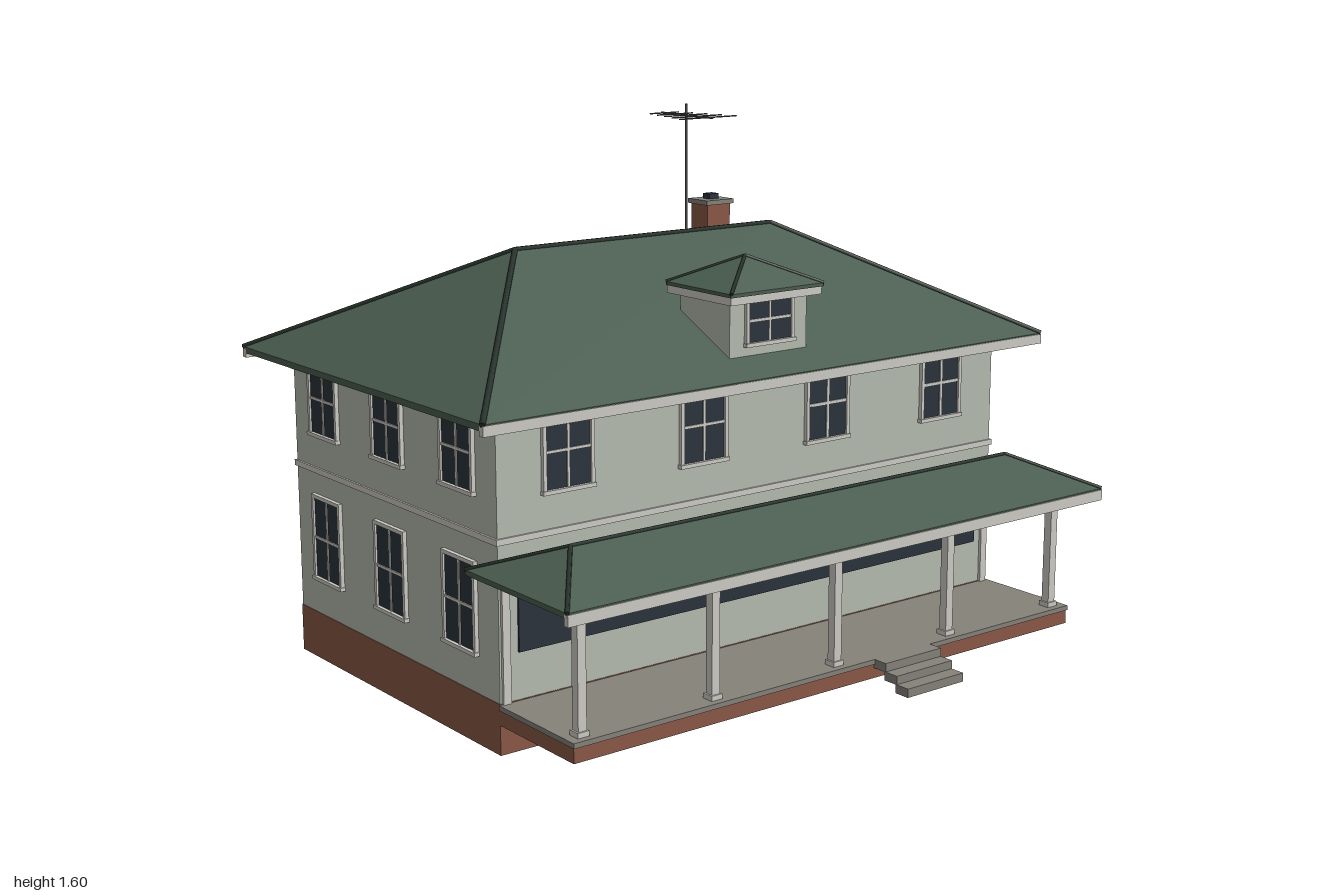
import * as THREE from 'three';

const mat = (name, color, extra = {}) => {
  const m = new THREE.MeshStandardMaterial({ color, ...extra });
  m.name = name;
  return m;
};

export function createModel() {
  const wall = mat('sage wall', 0xb5bdb0);
  const trim = mat('pale trim', 0xcfccc5);
  const brick = mat('brick', 0x8a5846);
  const roofing = mat('green roofing', 0x4b5e51);
  const capping = mat('dark ridge cap', 0x27322b);
  const glass = mat('dark glass', 0x2b333c);
  const stone = mat('grey stone', 0x86827a);
  const metal = mat('antenna metal', 0x4c4d4b);

  const model = new THREE.Group();
  model.name = 'house';

  const add = (parent, name, geometry, material) => {
    const mesh = new THREE.Mesh(geometry, material);
    mesh.name = name;
    parent.add(mesh);
    return mesh;
  };
  // Box given by its min and max on each axis
  const box = (parent, name, material, x0, x1, y0, y1, z0, z1) => {
    const mesh = add(parent, name, new THREE.BoxGeometry(x1 - x0, y1 - y0, z1 - z0), material);
    mesh.position.set((x0 + x1) / 2, (y0 + y1) / 2, (z0 + z1) / 2);
    return mesh;
  };
  // Round bar between two points
  const bar = (parent, name, material, a, b, radius, sides = 6) => {
    const from = new THREE.Vector3(...a), to = new THREE.Vector3(...b);
    const dir = to.clone().sub(from);
    const mesh = add(parent, name, new THREE.CylinderGeometry(radius, radius, dir.length(), sides), material);
    mesh.position.copy(from).add(to).multiplyScalar(0.5);
    mesh.quaternion.setFromUnitVectors(new THREE.Vector3(0, 1, 0), dir.normalize());
    return mesh;
  };

  // Hip roof: eave rectangle rising to a ridge along x, over a thin slab edge
  const hipRoof = (name, hx, z0, z1, yBase, yEave, yRidge, ridge, capRadius) => {
    const group = new THREE.Group();
    group.name = name;
    const zr = (z0 + z1) / 2;
    const e = [[-hx, yEave, z1], [hx, yEave, z1], [hx, yEave, z0], [-hx, yEave, z0]];
    const b = e.map(([x, , z]) => [x, yBase, z]);
    const l = [-ridge, yRidge, zr], r = [ridge, yRidge, zr];
    const tris = [e[1], e[2], r, e[3], e[0], l, e[0], e[1], r, e[2], e[3], l];
    if (ridge > 0) tris.push(e[0], r, l, e[2], l, r);
    for (let i = 0; i < 4; i++) {
      const j = (i + 1) % 4;
      tris.push(b[i], b[j], e[j], b[i], e[j], e[i]);
    }
    tris.push(b[0], b[3], b[2], b[0], b[2], b[1]);
    const geometry = new THREE.BufferGeometry();
    geometry.setAttribute('position', new THREE.Float32BufferAttribute(tris.flat(), 3));
    geometry.computeVertexNormals();
    add(group, 'roofSurface', geometry, roofing);
    e.forEach((corner, i) => bar(group, 'hipCap', capping, corner, i === 0 || i === 3 ? l : r, capRadius));
    if (ridge > 0) bar(group, 'ridgeCap', capping, l, r, capRadius);
    model.add(group);
    return group;
  };

  // Four-pane window facing +z, centred on its glass
  const windowUnit = (parent, w, h, x, y, z, turn = 0) => {
    const g = new THREE.Group();
    g.name = 'window';
    const a = w / 2, c = h / 2, f = 0.011, d = 0.01;
    box(g, 'glass', glass, -a, a, -c, c, -0.004, 0.004);
    for (const s of [-1, 1]) {
      box(g, 'sideCasing', trim, s < 0 ? -a - f : a, s < 0 ? -a : a + f, -c, c, -0.004, d);
    }
    box(g, 'headCasing', trim, -a - f, a + f, c, c + f, -0.004, d);
    box(g, 'sill', trim, -a - 0.014, a + 0.014, -c - f, -c, -0.004, 0.014);
    box(g, 'verticalBar', trim, -0.004, 0.004, -c, c, 0, 0.007);
    box(g, 'crossBar', trim, -a, a, -0.004, 0.004, 0, 0.007);
    g.position.set(x, y, z);
    g.rotation.y = turn;
    parent.add(g);
  };

  // Main body
  box(model, 'foundation', brick, -0.89, 0.89, 0, 0.14, -0.71, 0.36);
  box(model, 'walls', wall, -0.888, 0.888, 0.14, 0.9, -0.708, 0.358);
  box(model, 'beltCourse', trim, -0.894, 0.894, 0.565, 0.582, -0.714, 0.364);

  // Main roof with gutters along front and back
  hipRoof('mainRoof', 0.99, -0.82, 0.46, 0.895, 0.913, 1.223, 0.465, 0.008);
  box(model, 'frontGutter', trim, -0.99, 0.99, 0.882, 0.91, 0.445, 0.463);
  box(model, 'backGutter', trim, -0.99, 0.99, 0.882, 0.91, -0.823, -0.805);

  // Windows on the front, back and both sides
  const upper = [0.2, 0.787], lower = [0.235, 0.373];
  for (const x of [-0.67, -0.223, 0.223, 0.67]) {
    windowUnit(model, 0.14, upper[0], x, upper[1], 0.36);
    for (const [h, y] of [upper, lower]) windowUnit(model, 0.14, h, x, y, -0.71, Math.PI);
  }
  for (const s of [-1, 1]) {
    for (const z of [0.18, -0.175, -0.53]) {
      for (const [h, y] of [upper, lower]) windowUnit(model, 0.14, h, s * 0.89, y, z, s * Math.PI / 2);
    }
  }

  // Porch
  box(model, 'porchBase', brick, -0.89, 0.89, 0.083, 0.124, 0.355, 0.69);
  box(model, 'porchFloor', stone, -0.892, 0.892, 0.124, 0.138, 0.358, 0.694);
  box(model, 'porchGlazing', glass, -0.83, 0.83, 0.27, 0.475, 0.357, 0.364);
  for (let i = -2; i <= 2; i++) {
    const x = i * 0.424;
    const column = new THREE.Group();
    column.name = 'porchColumn';
    box(column, 'shaft', trim, x - 0.013, x + 0.013, 0.138, 0.485, 0.643, 0.669);
    box(column, 'base', trim, x - 0.018, x + 0.018, 0.138, 0.152, 0.638, 0.674);
    box(column, 'capital', trim, x - 0.018, x + 0.018, 0.472, 0.486, 0.638, 0.674);
    model.add(column);
  }
  for (const s of [-1, 1]) {
    box(model, 'wallPost', trim, s * 0.87 - 0.012, s * 0.87 + 0.012, 0.138, 0.486, 0.355, 0.367);
  }
  box(model, 'porchCeiling', stone, -0.93, 0.93, 0.482, 0.488, 0.358, 0.735);
  hipRoof('porchRoof', 0.95, 0.3, 0.755, 0.486, 0.5, 0.585, 0.78, 0.006);
  box(model, 'porchGutter', trim, -0.95, 0.95, 0.465, 0.496, 0.742, 0.758);

  // Front steps
  for (let i = 0; i < 3; i++) {
    box(model, 'step', stone, 0.115, 0.325, 0.113 - i * 0.024, 0.138 - i * 0.024, 0.69 + i * 0.044, 0.738 + i * 0.044);
  }

  // Dormer
  box(model, 'dormerWalls', wall, -0.137, 0.137, 0.95, 1.135, 0.15, 0.367);
  box(model, 'dormerFasciaFront', trim, -0.16, 0.16, 1.11, 1.137, 0.392, 0.402);
  box(model, 'dormerFasciaBack', trim, -0.16, 0.16, 1.11, 1.137, 0.122, 0.132);
  for (const s of [-1, 1]) {
    box(model, 'dormerFasciaSide', trim, s * 0.157 - 0.005, s * 0.157 + 0.005, 1.11, 1.137, 0.122, 0.402);
  }
  windowUnit(model, 0.15, 0.12, 0, 1.055, 0.368);
  hipRoof('dormerRoof', 0.165, 0.12, 0.407, 1.132, 1.142, 1.217, 0, 0.005);

  // Chimney
  box(model, 'chimneyStack', brick, 0.275, 0.362, 1.08, 1.285, -0.325, -0.247);
  box(model, 'chimneyCap', stone, 0.268, 0.37, 1.283, 1.297, -0.332, -0.24);
  box(model, 'chimneyFlue', glass, 0.302, 0.336, 1.297, 1.313, -0.302, -0.27);

  // Rooftop antenna
  const antenna = new THREE.Group();
  antenna.name = 'antenna';
  bar(antenna, 'mast', metal, [0.14, 1.2, -0.178], [0.14, 1.598, -0.178], 0.004, 8);
  bar(antenna, 'boom', metal, [0.14, 1.565, -0.297], [0.14, 1.565, -0.055], 0.0032);
  for (let i = 0; i < 5; i++) {
    const half = 0.105 - i * 0.013, z = -0.075 - i * 0.052;
    bar(antenna, 'element', metal, [0.14 - half, 1.565, z], [0.14 + half, 1.565, z], 0.0022);
  }
  model.add(antenna);

  return model;
}
